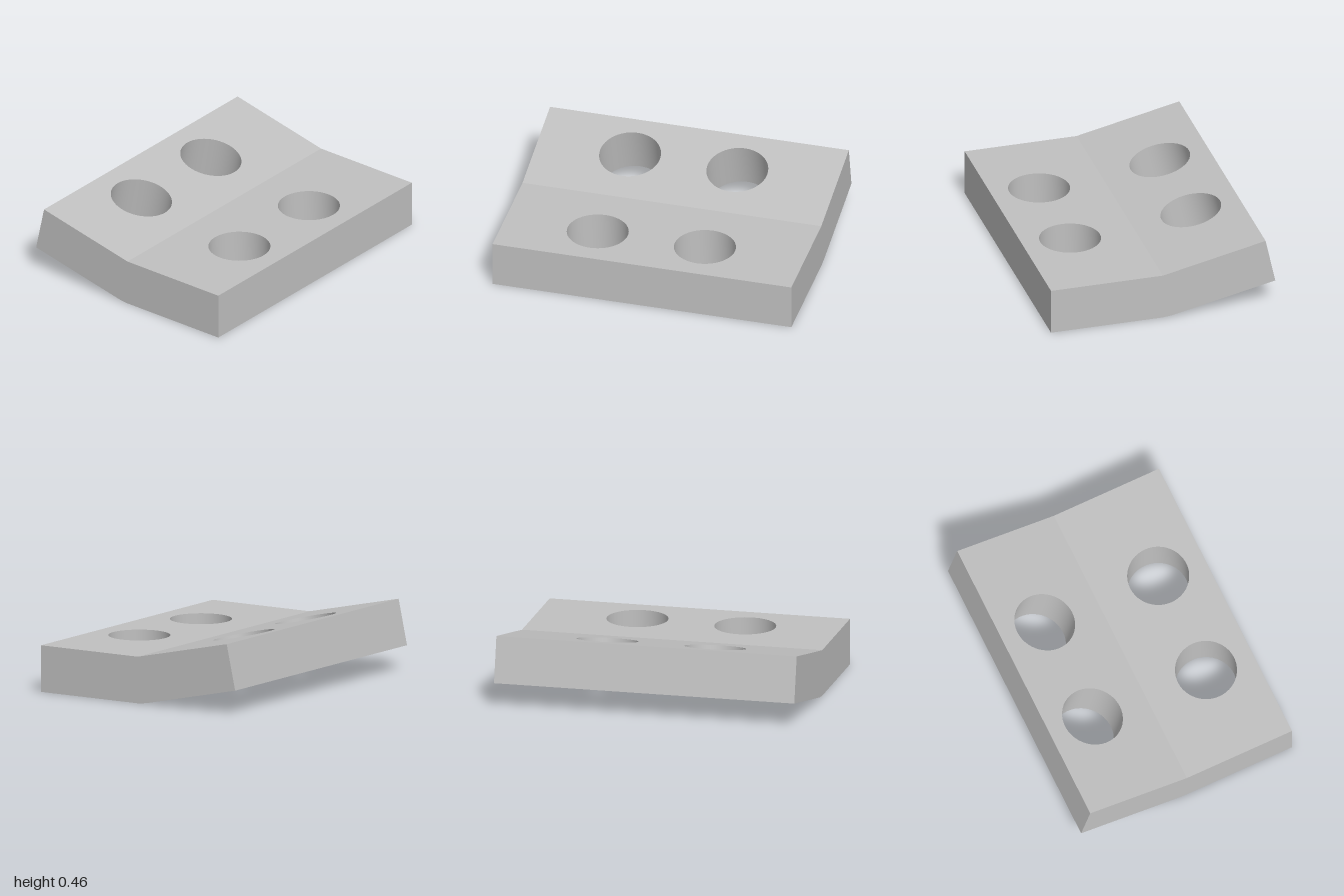
import * as THREE from 'three';
import { toCreasedNormals } from 'three/addons/utils/BufferGeometryUtils.js';

const T = 0.305;        // plate thickness
const D = 0.996;        // half depth
const BEND = 0.2155;    // upward bend of the right arm, radians
const HOLE_R = 0.2;
const HOLE_Z = [-0.335, 0.38];

// Keeps only the triangles whose centroid passes the test, then shades with sharp edges
function keepFaces(geometry, test) {
  const p = geometry.toNonIndexed?.call(geometry.index ? geometry : geometry.clone().setIndex(
    [...Array(geometry.attributes.position.count).keys()])).attributes.position;
  const kept = [];
  const v = [new THREE.Vector3(), new THREE.Vector3(), new THREE.Vector3()];
  const c = new THREE.Vector3();
  for (let i = 0; i < p.count; i += 3) {
    c.set(0, 0, 0);
    v.forEach((q, k) => c.add(q.fromBufferAttribute(p, i + k)));
    if (test(c.divideScalar(3))) v.forEach((q) => kept.push(q.x, q.y, q.z));
  }
  const out = new THREE.BufferGeometry();
  out.setAttribute('position', new THREE.Float32BufferAttribute(kept, 3));
  out.computeVertexNormals();
  return toCreasedNormals(out, 0.5);
}

// Flat slab between x0 and x1 with two round holes; its top lies at y = 0
function slabGeometry(x0, x1, holeX) {
  const shape = new THREE.Shape();
  shape.moveTo(x0, -D).lineTo(x1, -D).lineTo(x1, D).lineTo(x0, D).closePath();
  for (const z of HOLE_Z) {
    shape.holes.push(new THREE.Path().absarc(holeX, -z, HOLE_R, 0, Math.PI * 2, true));
  }
  const g = new THREE.ExtrudeGeometry(shape, { depth: T, bevelEnabled: false, curveSegments: 24 });
  g.rotateX(-Math.PI / 2).translate(0, -T, 0);
  return keepFaces(g, (c) => Math.abs(c.x) > 1e-4); // open at the joint
}

export function createModel() {
  const group = new THREE.Group();
  group.name = 'bentPlate';
  const grey = new THREE.MeshStandardMaterial({ color: 0xc0c0c0 });
  grey.name = 'grey';

  const add = (name, geometry) => {
    const mesh = new THREE.Mesh(geometry, grey);
    mesh.name = name;
    group.add(mesh);
    return mesh;
  };

  // Level arm on the left, raised arm on the right
  add('levelArm', slabGeometry(0, 0.75, 0.43)).position.y = T;
  const raised = add('raisedArm', slabGeometry(-0.706, 0, -0.389));
  raised.position.y = T;
  raised.rotation.z = -BEND;

  // Thin wedge filling the outside of the bend
  const wedge = new THREE.Shape();
  wedge.moveTo(0, T).lineTo(-T * Math.sin(BEND), T - T * Math.cos(BEND)).lineTo(0, 0).closePath();
  const wedgeGeometry = new THREE.ExtrudeGeometry(wedge, { depth: 2 * D, bevelEnabled: false });
  wedgeGeometry.translate(0, 0, -D);
  add('bendWedge', keepFaces(wedgeGeometry, (c) => c.y < 0.01 || Math.abs(c.z) > D - 1e-4));

  // The plate sits very slightly turned
  group.rotation.y = -0.0042;
  return group;
}
